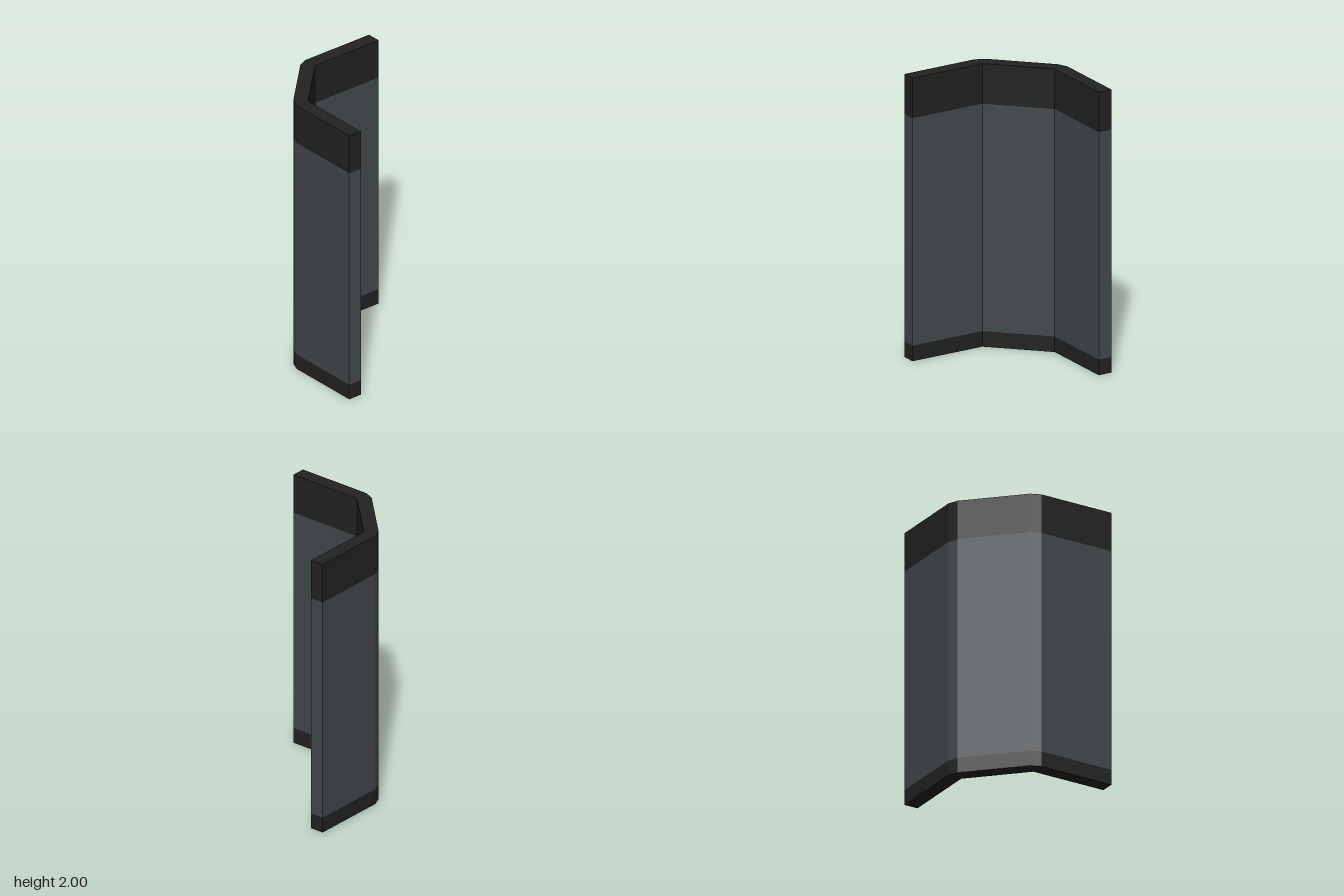
import * as THREE from 'three';

// Footprint of the angled wall as [x, z], running along the outside then back along the inside
const OUTLINE = [
  [0.5, -0.5], [-0.05, -0.5], [-0.12, -0.47], [-0.47, -0.12], [-0.5, -0.05],
  [-0.5, 0.5], [-0.4, 0.5], [-0.4, -0.05], [-0.05, -0.4], [0.5, -0.4],
];

// Flat vertical faces around the footprint between two heights
function bandGeometry(y0, y1) {
  const positions = [];
  OUTLINE.forEach(([ax, az], i) => {
    const [bx, bz] = OUTLINE[(i + 1) % OUTLINE.length];
    positions.push(ax, y0, az, bx, y0, bz, bx, y1, bz);
    positions.push(ax, y0, az, bx, y1, bz, ax, y1, az);
  });
  const geometry = new THREE.BufferGeometry();
  geometry.setAttribute('position', new THREE.Float32BufferAttribute(positions, 3));
  geometry.computeVertexNormals();
  return geometry;
}

// Horizontal face closing the wall: side is 1 for the top, -1 for the underside
function capGeometry(y, side) {
  const shape = new THREE.Shape(OUTLINE.map(([x, z]) => new THREE.Vector2(x, -side * z)));
  return new THREE.ShapeGeometry(shape).rotateX(-side * Math.PI / 2).translate(0, y, 0);
}

export function createModel() {
  const panelGrey = new THREE.MeshStandardMaterial({ name: 'slate grey', color: 0x42484b });
  const trimBlack = new THREE.MeshStandardMaterial({ name: 'trim black', color: 0x222222 });

  const model = new THREE.Group();
  model.name = 'angledCornerWall';
  const add = (name, geometry, material) => {
    const mesh = new THREE.Mesh(geometry, material);
    mesh.name = name;
    model.add(mesh);
  };

  // Skirting, main panel and upper trim stacked into one wall
  add('skirting', bandGeometry(0, 0.11), trimBlack);
  add('wallPanel', bandGeometry(0.11, 1.717), panelGrey);
  add('upperTrim', bandGeometry(1.717, 2), trimBlack);

  // End faces
  add('topFace', capGeometry(2, 1), trimBlack);
  add('bottomFace', capGeometry(0, -1), trimBlack);
  return model;
}
